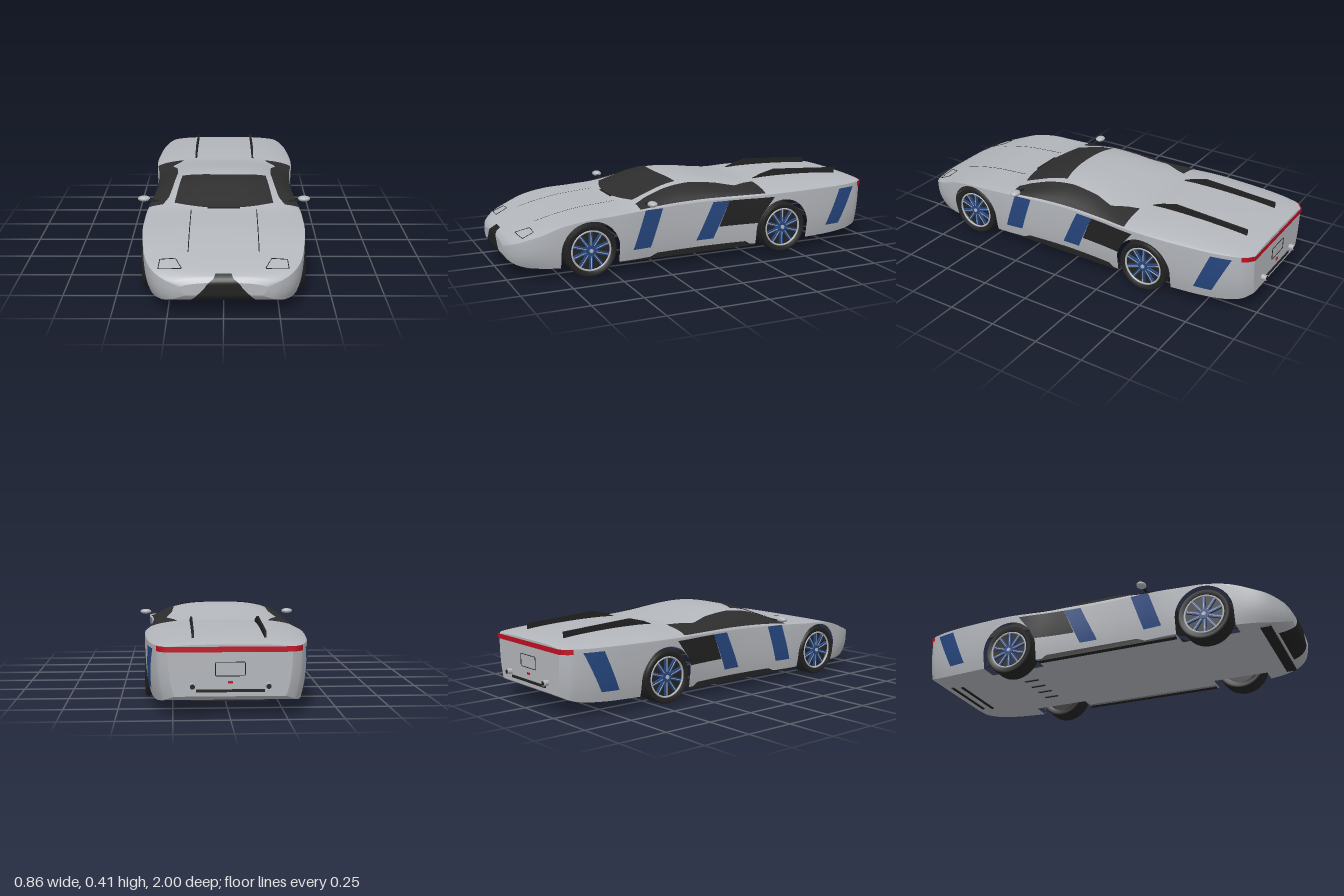
import * as THREE from 'three';

const mat = (name, color, side = THREE.DoubleSide) => {
  const m = new THREE.MeshStandardMaterial({ color, side });
  m.name = name;
  return m;
};

// Body stations: z, half width, shoulder y, centre top y, bottom y, lower tuck
const STATIONS = [
  [-0.975, 0.27, 0.316, 0.327, 0.1, 0.1], [-0.95, 0.305, 0.318, 0.335, 0.085, 0.09],
  [-0.9, 0.33, 0.317, 0.343, 0.07, 0.08], [-0.8, 0.355, 0.316, 0.353, 0.06, 0.07],
  [-0.6, 0.376, 0.315, 0.362, 0.055, 0.06], [-0.45, 0.382, 0.315, 0.362, 0.055, 0.05],
  [-0.33, 0.377, 0.312, 0.358, 0.055, 0.05], [-0.2, 0.362, 0.308, 0.376, 0.055, 0.05],
  [0, 0.352, 0.305, 0.406, 0.055, 0.05], [0.12, 0.355, 0.303, 0.406, 0.055, 0.05],
  [0.2, 0.36, 0.302, 0.39, 0.055, 0.05], [0.3, 0.368, 0.3, 0.352, 0.055, 0.05],
  [0.4, 0.378, 0.296, 0.314, 0.055, 0.05], [0.5, 0.381, 0.29, 0.303, 0.055, 0.05],
  [0.62, 0.381, 0.284, 0.292, 0.055, 0.05], [0.75, 0.37, 0.262, 0.268, 0.055, 0.06],
  [0.85, 0.352, 0.225, 0.242, 0.058, 0.08], [0.92, 0.32, 0.2, 0.22, 0.064, 0.1],
  [0.96, 0.28, 0.18, 0.203, 0.075, 0.1], [0.985, 0.235, 0.165, 0.188, 0.092, 0.1],
  [0.997, 0.19, 0.15, 0.17, 0.11, 0.1],
];
const spline = new THREE.CubicInterpolant(STATIONS.map(s => s[0]), STATIONS.flatMap(s => s.slice(1)), 5);
const section = z => {
  const [w, shoulder, top, bottom, tuck] = spline.evaluate(z);
  return { w, shoulder, top, bottom, tuck };
};
const topY = (x, z) => {
  const s = section(z), f = Math.min(1, Math.abs(x) / s.w);
  return s.shoulder + (s.top - s.shoulder) * Math.pow(1 - f ** 3, 0.714);
};
const sideX = (y, z) => {
  const s = section(z);
  const f = Math.max(0, (s.shoulder - y) / (s.shoulder - s.bottom));
  return s.w * (1 - s.tuck * f ** 3);
};

const AXLE_Y = 0.13;
const ARCHES = [{ z: 0.615, r: 0.145 }, { z: -0.437, r: 0.15 }];
const archAt = z => ARCHES.find(a => Math.abs(z - a.z) < a.r);
const lowEdge = z => {
  const a = archAt(z);
  return a ? AXLE_Y + Math.sqrt(a.r ** 2 - (z - a.z) ** 2) : section(z).bottom;
};

// Grid surface; fn(i, j) returns a point
function grid(ni, nj, fn) {
  const pos = [], index = [];
  for (let i = 0; i <= ni; i++) for (let j = 0; j <= nj; j++) pos.push(...fn(i, j));
  for (let i = 0; i < ni; i++) for (let j = 0; j < nj; j++) {
    const a = i * (nj + 1) + j, b = a + nj + 1;
    index.push(a, b, a + 1, b, b + 1, a + 1);
  }
  const g = new THREE.BufferGeometry();
  g.setAttribute('position', new THREE.Float32BufferAttribute(pos, 3));
  g.setIndex(index);
  g.computeVertexNormals();
  return g;
}
const patch = (n, m, fn) => grid(n, m, (i, j) => fn(i / n, j / m));
const lerp = THREE.MathUtils.lerp;
const table = (rows, t) => {
  let i = 0;
  while (i < rows.length - 2 && t > rows[i + 1][0]) i++;
  const [a, b] = [rows[i], rows[i + 1]];
  return lerp(a[1], b[1], (t - a[0]) / (b[0] - a[0]));
};

export function createModel() {
  const car = new THREE.Group();
  car.name = 'sportsCar';
  const silver = mat('silver paint', 0xb2b5ba, THREE.FrontSide);
  const black = mat('black trim', 0x222223);
  const glass = mat('dark glass', 0x2d2d2e);
  const blue = mat('blue', 0x26467f);
  const red = mat('red light', 0xbe0f22);
  const add = (name, geo, m, parent = car) => {
    const mesh = new THREE.Mesh(geo, m);
    mesh.name = name;
    parent.add(mesh);
    return mesh;
  };
  const box = (name, m, w, h, d, x, y, z, parent) => {
    const b = add(name, new THREE.BoxGeometry(w, h, d), m, parent);
    b.position.set(x, y, z);
    return b;
  };
  const line = (name, pts, closed, r = 0.0018) => {
    const c = new THREE.CatmullRomCurve3(pts.map(p => new THREE.Vector3(...p)), closed, 'catmullrom', 0);
    add(name, new THREE.TubeGeometry(c, 48, r, 4, closed), black);
  };

  // Body shell, with extra stations at the wheel arches
  const zs = [0.997, 0.993, 0.985, -0.97, -0.975];
  for (let z = 0.975; z > -0.965; z -= 0.02) zs.push(z);
  for (const a of ARCHES) for (const s of [-1, 1])
    for (const d of [1.0005, 0.9995, 0.985, 0.96, 0.92]) zs.push(a.z + s * d * a.r);
  zs.sort((a, b) => b - a);
  const SIDE = 8, TOP = 36, RING = 2 * SIDE + TOP;
  const ringPoint = (z, j) => {
    const s = section(z);
    if (j >= SIDE && j <= SIDE + TOP) {
      const t = 1 - (2 * (j - SIDE)) / TOP;
      const x = Math.sign(t) * s.w * (1 - (1 - Math.abs(t)) ** 2);
      return [x, topY(x, z), z];
    }
    const sign = j < SIDE ? 1 : -1;
    const y = lerp(lowEdge(z), s.shoulder, (sign > 0 ? j : RING - j) / SIDE);
    return [sign * sideX(y, z), y, z];
  };
  add('bodyShell', grid(zs.length - 1, RING, (i, j) => ringPoint(zs[i], j)), silver);
  const shape = z => new THREE.Shape(Array.from({ length: RING + 1 }, (_, j) => new THREE.Vector2(...ringPoint(z, j))));
  add('noseCap', new THREE.ShapeGeometry(shape(0.997)), silver).position.z = 0.997;
  const tail = add('tailPanel', new THREE.ShapeGeometry(shape(-0.975)), silver);
  tail.position.z = -0.975;
  tail.rotation.y = Math.PI;
  add('floor', grid(zs.length - 1, 4, (i, j) => {
    const z = zs[i], y = section(z).bottom;
    return [(j / 2 - 1) * (archAt(z) ? 0.26 : sideX(y, z)), y, z];
  }), silver);

  // Windscreen
  add('windscreen', patch(16, 24, (s, t) => {
    const u = 2 * t - 1, arc = 1 - u * u;
    const z = lerp(0.11 + 0.025 * arc, 0.355 + 0.05 * arc, s);
    const x = u * lerp(0.215, 0.245, s);
    return [x, topY(x, z) + 0.004, z];
  }), glass);

  // Front grille, following the curve of the nose
  add('grille', patch(16, 4, (s, t) => {
    const y = lerp(0.2, 0.064, s);
    const half = table([[0.06, 0.17], [0.178, 0.055], [0.182, 0.045], [0.2, 0.035]], y);
    const z = table([[0.064, 0.92], [0.075, 0.96], [0.092, 0.985], [0.11, 0.997], [0.17, 0.997], [0.188, 0.985], [0.203, 0.96]], y);
    return [(2 * t - 1) * half, y + (y > 0.15 ? 0.003 : -0.003), z + 0.004];
  }), black);
  box('frontLip', black, 0.56, 0.012, 0.05, 0, 0.056, 0.885);
  box('wiper', black, 0.16, 0.005, 0.008, 0, topY(0, 0.405) + 0.004, 0.405);

  const glassInner = [[-0.33, 0.225], [-0.28, 0.24], [-0.2, 0.28], [-0.1, 0.25], [0.05, 0.24], [0.2, 0.255], [0.3, 0.272], [0.36, 0.3]];
  const stripes = [[0.335, 0.24, 0.4, 0.305], [-0.04, -0.13, 0.05, -0.045], [-0.79, -0.89, -0.71, -0.8]];
  for (const s of [1, -1]) {
    const sidePoint = (y, z) => [s * (sideX(y, z) + 0.004), y, z];
    add('sideWindow', patch(36, 8, (u, v) => {
      const z = lerp(-0.33, 0.36, u);
      const x = lerp(table(glassInner, z), section(z).w * 0.985, v);
      return [s * (x + 0.002), topY(x, z) + 0.004, z];
    }), glass);
    for (const [ta, tb, ba, bb] of stripes)
      add('sideStripe', patch(10, 4, (u, v) => sidePoint(lerp(0.108, 0.3, u), lerp(lerp(ba, bb, v), lerp(ta, tb, v), u))), blue);
    add('sideVent', patch(10, 6, (u, v) => {
      const y = lerp(0.168, 0.3, u);
      const rear = table([[0.165, -0.29], [0.22, -0.318], [0.3, -0.38]], y);
      return sidePoint(y, lerp(lerp(-0.075, -0.13, u), rear, v));
    }), black);
    box('sill', black, 0.03, 0.026, 0.74, s * 0.335, 0.059, 0.09);

    // Hood seam, headlight outline and rear fin
    add('hoodSeam', patch(30, 1, (u, v) => {
      const x = s * (0.158 + 0.004 * v), z = lerp(0.42, 0.83, u);
      return [x, topY(x, z) + 0.003, z];
    }), black);
    line('headlightOutline', [[0.29, 0.925], [0.285, 0.87], [0.215, 0.87], [0.185, 0.935], [0.24, 0.932]]
      .map(([x, z]) => [s * x, topY(x, z) + 0.002, z]), true);
    const fin = new THREE.Shape([[0.33, 0.34], [0.42, 0.375], [0.5, 0.395], [0.88, 0.372], [0.88, 0.33]].map(p => new THREE.Vector2(...p)));
    const finMesh = add('rearFin', new THREE.ExtrudeGeometry(fin, { depth: 0.01, bevelEnabled: false }), black);
    finMesh.rotation.y = Math.PI / 2;
    finMesh.position.x = s * 0.16 - 0.005;

    // Door mirror
    const head = add('mirror', new THREE.SphereGeometry(1, 20, 12), silver);
    head.scale.set(0.031, 0.014, 0.024);
    head.position.set(s * 0.4, 0.334, 0.31);
    box('mirrorArm', black, 0.06, 0.008, 0.012, s * 0.355, 0.327, 0.315).rotation.z = s * 0.15;

    // Exhaust
    const pipe = add('exhaust', new THREE.CylinderGeometry(0.014, 0.014, 0.035, 20), silver);
    pipe.rotation.x = Math.PI / 2;
    pipe.position.set(s * 0.165, 0.147, -0.982);
    const mouth = add('exhaustMouth', new THREE.CircleGeometry(0.011, 20), black);
    mouth.position.set(s * 0.165, 0.147, -1.0003);
  }

  // Tail light bar wrapping the corners, plate frame and lower trim
  const plan = [[0.318, -0.93], [0.306, -0.953], [0.273, -0.979], [-0.273, -0.979], [-0.306, -0.953], [-0.318, -0.93]];
  add('tailLight', grid(5, 1, (i, j) => [plan[i][0] * 1.008, 0.294 + 0.024 * j, plan[i][1]]), red);
  line('plateFrame', [[-0.065, 0.19], [0.065, 0.19], [0.065, 0.25], [-0.065, 0.25]].map(([x, y]) => [x, y, -0.977]), true);
  box('fogLight', red, 0.022, 0.01, 0.006, 0, 0.162, -0.976);
  box('rearTrim', black, 0.3, 0.012, 0.008, 0, 0.125, -0.976);
  for (const z of [-0.83, -0.89]) box('diffuserSlot', black, 0.34, 0.008, 0.016, 0, section(z).bottom, z);
  for (const x of [-0.12, -0.04, 0.04, 0.12]) box('floorSlot', black, 0.012, 0.006, 0.08, x, 0.054, -0.43);

  // Wheels: grooved tyre, rim ring and blue spokes
  const tyre = [[0.098, -0.046], [0.12, -0.058], [0.129, -0.048]];
  for (const c of [-0.03, -0.01, 0.01, 0.03])
    tyre.push([0.13, c - 0.004], [0.125, c - 0.003], [0.125, c + 0.003], [0.13, c + 0.004]);
  tyre.push([0.129, 0.048], [0.12, 0.058], [0.098, 0.046]);
  const tyreGeo = new THREE.LatheGeometry(tyre.map(p => new THREE.Vector2(...p)), 48);
  for (const a of ARCHES) for (const s of [1, -1]) {
    const wheel = new THREE.Group();
    wheel.name = a.z > 0 ? 'frontWheel' : 'rearWheel';
    wheel.position.set(s * 0.323, AXLE_Y, a.z);
    wheel.rotation.z = -s * Math.PI / 2;
    car.add(wheel);
    add('tyre', tyreGeo, black, wheel);
    add('rimBack', new THREE.CylinderGeometry(0.1, 0.1, 0.06, 40), black, wheel);
    const ring = add('rimRing', new THREE.TorusGeometry(0.097, 0.005, 8, 48), silver, wheel);
    ring.rotation.x = Math.PI / 2;
    ring.position.y = 0.046;
    add('hub', new THREE.CylinderGeometry(0.026, 0.03, 0.02, 24), blue, wheel).position.y = 0.037;
    add('hubCap', new THREE.CylinderGeometry(0.01, 0.01, 0.006, 16), silver, wheel).position.y = 0.049;
    for (let i = 0; i < 10; i++) {
      const spoke = new THREE.Group();
      spoke.name = 'spoke';
      spoke.rotation.y = (i / 10) * Math.PI * 2;
      wheel.add(spoke);
      box('spokeBar', blue, 0.076, 0.012, 0.016, 0.058, 0.038, 0, spoke);
      box('spokeEdge', silver, 0.07, 0.004, 0.003, 0.06, 0.044, 0, spoke);
    }
  }
  return car;
}
